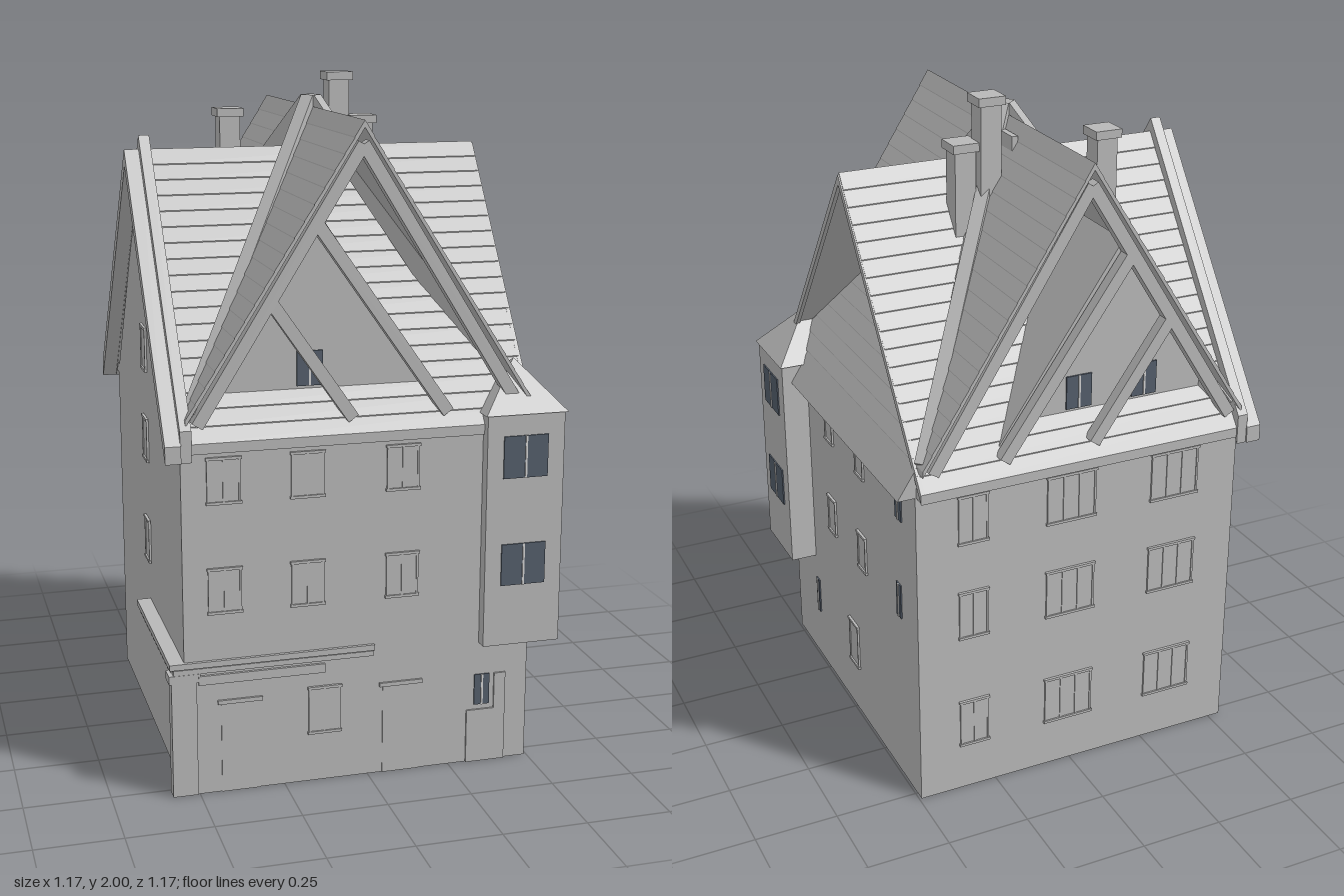
import * as THREE from 'three';

const mat = (name, color, extra = {}) => Object.assign(new THREE.MeshStandardMaterial({ color, ...extra }), { name });

export function createModel() {
  const model = new THREE.Group();
  model.name = 'cornerHouse';
  const stone = mat('stone grey', 0xb8b8b8, { side: THREE.DoubleSide });
  const glass = mat('glass blue grey', 0x545e6b);
  const frameMat = mat('frame pale grey', 0xd4d4d4);

  const add = (name, geo, m = stone, parent = model) => {
    const mesh = new THREE.Mesh(geo, m);
    mesh.name = name;
    parent.add(mesh);
    return mesh;
  };
  // Box from min and max corners
  const box = (name, x0, x1, y0, y1, z0, z1, m, parent) => {
    const mesh = add(name, new THREE.BoxGeometry(x1 - x0, y1 - y0, z1 - z0), m, parent);
    mesh.position.set((x0 + x1) / 2, (y0 + y1) / 2, (z0 + z1) / 2);
    return mesh;
  };
  // Square timber between two points
  const beam = (name, a, b, w, h) => {
    const p = new THREE.Vector3(...a), q = new THREE.Vector3(...b);
    const mesh = add(name, new THREE.BoxGeometry(w, h, p.distanceTo(q)));
    mesh.position.copy(p).add(q).multiplyScalar(0.5);
    mesh.lookAt(q);
  };
  const points = list => list.map(p => new THREE.Vector2(...p));
  const extrude = (pts, depth) => new THREE.ExtrudeGeometry(
    new THREE.Shape(points(pts)), { depth, bevelEnabled: false });

  // Hollow walls, ceiling over the ground floor and the front left room
  const plan = new THREE.Shape(points([[-0.54, -0.545], [0.493, -0.545], [0.493, 0.53], [-0.54, 0.53]]));
  plan.holes.push(new THREE.Path(points([[-0.528, -0.533], [-0.528, 0.518], [0.481, 0.518], [0.481, -0.533]])));
  add('walls', new THREE.ExtrudeGeometry(plan, { depth: 1.03, bevelEnabled: false }).rotateX(-Math.PI / 2));
  box('ceiling', -0.53, 0.485, 0.33, 0.34, -0.525, 0.535);
  box('partitionSide', -0.06, -0.045, 0, 0.33, 0.03, 0.535);
  box('partitionBack', -0.53, -0.045, 0, 0.33, 0.03, 0.045);

  // Gable roof section with overlapping tile courses
  const roofProfile = (ridge, half, eave, thick, courses, step) => {
    const right = [];
    for (let i = 0; i < courses; i++) {
      const t0 = i / courses, t1 = (i + 1) / courses;
      right.push([half * t0, ridge + (eave - ridge) * t0 - (i ? step : 0)]);
      right.push([half * t1, ridge + (eave - ridge) * t1]);
    }
    const left = right.slice(1).reverse().map(([x, y]) => [-x, y]);
    return [...left, ...right, [half, eave - thick], [0, ridge - thick], [-half, eave - thick]];
  };
  add('tallRoof', extrude(roofProfile(1.905, 0.505, 1.107, 0.02, 18, 0.003), 1.12)).position.set(-0.02, 0, -0.57);
  add('crossRoof', extrude(roofProfile(1.79, 0.565, 1.04, 0.02, 18, 0.003), 1.01).rotateY(Math.PI / 2))
    .position.set(-0.52, 0, -0.01);
  // Lower strip of the tall roof, running out beneath the open right gable
  add('rightEave', extrude([[0.48, 1.112], [0.546, 1.01], [0.48, 1.01]], 0.89)).position.z = -0.53;

  // Closed left gable and the verges
  add('leftGable', extrude([[-0.54, 1.02], [0.53, 1.02], [0.01, 1.77]], 0.02).rotateY(Math.PI / 2))
    .position.x = -0.54;
  add('leftVergeInner', extrude(roofProfile(1.83, 0.57, 1.08, 0.09, 1, 0), 0.032).rotateY(Math.PI / 2))
    .position.set(-0.542, 0, -0.01);
  add('leftVergeOuter', extrude(roofProfile(1.79, 0.575, 1.04, 0.05, 1, 0), 0.045).rotateY(Math.PI / 2))
    .position.set(-0.585, 0, -0.01);
  add('rightVerge', extrude(roofProfile(1.785, 0.565, 1.04, 0.03, 1, 0), 0.012).rotateY(Math.PI / 2))
    .position.set(0.482, 0, -0.01);
  box('frontEave', -0.54, 0.36, 1.01, 1.04, 0.53, 0.553);
  box('backEave', -0.54, 0.49, 1.01, 1.04, -0.575, -0.52);

  // Open end gables: slanting timbers and a smaller roof with its wall nested inside
  for (const s of [1, -1]) {
    const zWall = s > 0 ? 0.455 : -0.485, z = s > 0 ? 0.525 : -0.545;
    add('nestedWall', extrude([[-0.5, 1.06], [0.25, 1.06], [-0.15, 1.64]], 0.01)).position.z = zWall;
    add('nestedRoof', extrude([[0.25, 1.06], [0.27, 1.06], [-0.14, 1.66], [-0.155, 1.64]], 0.35))
      .position.z = s > 0 ? 0.15 : -0.52;
    const bars = [[-0.49, 1.085, -0.02, 1.84], [0.45, 1.085, -0.02, 1.84],
      [0.235, 1.08, -0.15, 1.63], [-0.045, 1.08, -0.28, 1.42]];
    for (const [x0, y0, x1, y1] of bars) beam('gableTimber', [x0, y0, z], [x1, y1, z], 0.035, 0.035);
  }

  // Raised beams along the roof valleys
  for (const [x, z] of [[-0.495, -0.53], [-0.495, 0.49], [0.465, -0.53], [0.445, 0.47]])
    beam('valleyBeam', [x, 1.1, z], [-0.02, 1.92, -0.015], 0.04, 0.06);

  // Chimneys with caps
  for (const [x, z, y0, top] of [[-0.228, -0.225, 1.35, 1.89], [0.095, -0.14, 1.5, 2], [0.165, -0.12, 1.45, 1.87]]) {
    const h = 0.032;
    box('chimney', x - h, x + h, y0, top - 0.02, z - h, z + h);
    box('chimneyCap', x - h - 0.009, x + h + 0.009, top - 0.025, top, z - h - 0.009, z + h + 0.009);
  }
  for (const x of [-0.05, 0.013]) box('ridgeVent', x - 0.006, x + 0.012, 1.8, 1.875, -0.16, -0.08);

  // Corner bay with its pyramid roof
  box('cornerBay', 0.34, 0.575, 0.375, 1.07, 0.352, 0.582);
  const cap = add('bayRoof', new THREE.CylinderGeometry(0, 0.125 * Math.SQRT2, 0.14, 4, 1)
    .rotateY(Math.PI / 4).toNonIndexed());
  cap.geometry.computeVertexNormals();
  cap.position.set(0.458, 1.14, 0.464);

  // Windows: thin plates placed on a wall and turned to face outward
  const place = { front: 0, right: Math.PI / 2, back: Math.PI, left: -Math.PI / 2 };
  const windowAt = (side, x, y, z, w, h, panes = 2, pane = stone) => {
    const g = new THREE.Group();
    g.name = side + 'Window';
    g.position.set(x, y, z);
    g.rotation.y = place[side];
    model.add(g);
    const b = 0.006, glazed = pane === glass;
    box('pane', -w / 2, w / 2, -h / 2, h / 2, -0.003, 0.003, pane, g);
    // Glazed windows carry only the pale middle bar, plain ones a full frame
    for (let i = glazed ? 1 : 0; i <= (glazed ? panes - 1 : panes); i++) {
      const px = -w / 2 + (w * i) / panes;
      box('upright', px - b / 2, px + b / 2, -h / 2, h / 2, 0, 0.006, glazed ? frameMat : stone, g);
    }
    if (glazed) return;
    box('lintel', -w / 2 - 0.006, w / 2 + 0.006, h / 2, h / 2 + 0.008, 0, 0.008, stone, g);
    box('sill', -w / 2 - 0.006, w / 2 + 0.006, -h / 2 - 0.008, -h / 2, 0, 0.008, stone, g);
  };
  for (const y of [0.945, 0.622]) {
    windowAt('front', 0.457, y, 0.583, 0.135, 0.125, 2, glass);
    windowAt('right', 0.576, y, 0.468, 0.135, 0.125, 2, glass);
  }
  for (const y of [0.91, 0.6, 0.23])
    for (const [x, w, n] of [[0.32, 0.085, 2], [0.01, 0.15, 3], [-0.33, 0.15, 3]])
      windowAt('back', x, y, -0.531, w, 0.14, n);
  for (const y of [0.93, 0.61])
    for (const x of [-0.42, -0.18, 0.1]) windowAt('front', x, y, 0.545, 0.09, 0.12);
  for (const y of [0.94, 0.62])
    for (const z of [0.16, -0.1]) windowAt('right', 0.493, y, z, 0.06, 0.11, 1);
  windowAt('right', 0.494, 0.97, -0.155, 0.038, 0.05, 2, glass);
  windowAt('right', 0.494, 0.94, -0.405, 0.045, 0.11, 2, glass);
  windowAt('right', 0.494, 0.615, -0.395, 0.034, 0.11, 2, glass);
  windowAt('right', 0.494, 0.235, 0.335, 0.027, 0.12, 2, glass);
  windowAt('right', 0.493, 0.24, 0, 0.07, 0.14, 1);
  for (const y of [1.2, 0.92, 0.6]) windowAt('left', -0.541, y, 0, 0.07, 0.12, 1);
  windowAt('front', -0.153, 1.215, 0.467, 0.075, 0.1, 2, glass);
  for (const x of [-0.03, -0.24]) windowAt('back', x, 1.215, -0.487, 0.08, 0.1, 2, glass);

  // Ground floor: corner pier, ledges, doors and small windows
  box('cornerPier', -0.578, -0.505, 0, 0.345, 0.51, 0.549);
  box('pierCap', -0.585, -0.495, 0.345, 0.37, 0.5, 0.552);
  box('frontLedge', -0.58, 0.018, 0.388, 0.405, 0.53, 0.555);
  box('frontLedgeLower', -0.572, 0.015, 0.37, 0.385, 0.53, 0.551);
  box('awningBoard', -0.5, -0.13, 0.335, 0.362, 0.53, 0.553);
  box('sideLedge', -0.583, -0.53, 0.388, 0.405, 0, 0.555);
  for (let i = 0; i < 14; i++)
    box('ledgeBracket', -0.575, -0.53, 0.365, 0.388, 0.01 + i * 0.038, 0.028 + i * 0.038);
  for (const x of [-0.38, 0.1]) {
    box('door', x - 0.055, x + 0.055, 0, 0.27, 0.535, 0.548);
    box('doorLintel', x - 0.065, x + 0.065, 0.27, 0.282, 0.535, 0.552);
  }
  windowAt('front', -0.13, 0.22, 0.545, 0.09, 0.13);
  windowAt('front', 0.352, 0.228, 0.546, 0.047, 0.095, 2, glass);
  box('porchStep', 0.305, 0.39, 0, 0.165, 0.535, 0.551);
  box('porchPost', 0.39, 0.425, 0, 0.275, 0.535, 0.551);
  return model;
}
